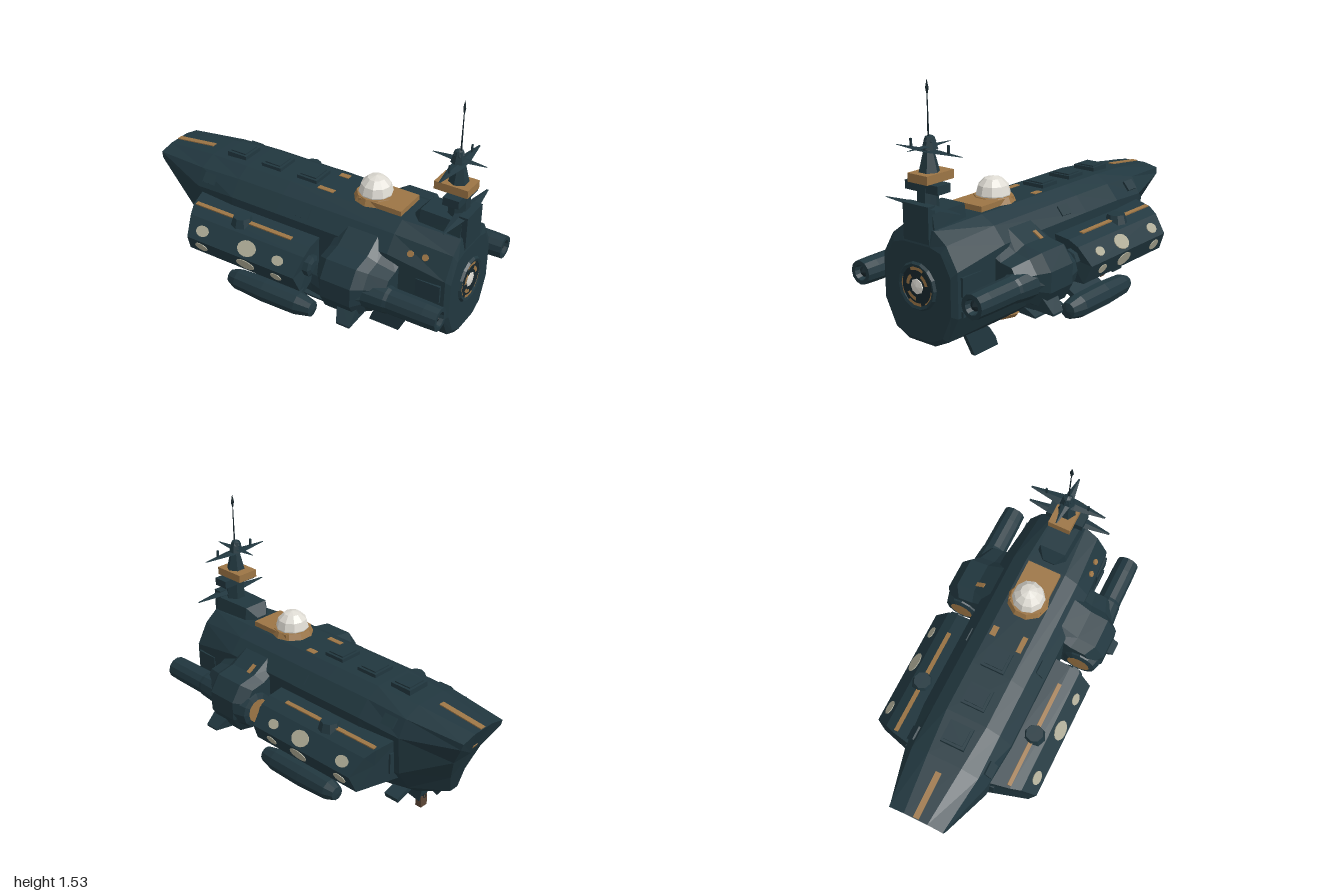
import * as THREE from 'three';

const mat = (name, color) => {
  const m = new THREE.MeshStandardMaterial({ color, flatShading: true, side: THREE.DoubleSide });
  m.name = name;
  return m;
};

export function createModel() {
  const root = new THREE.Group();
  root.name = 'airship';
  const teal = mat('dark teal plating', 0x21373f);
  const dark = mat('dark recess', 0x17262c);
  const ochre = mat('ochre trim', 0x9c7545);
  const brown = mat('brown gun metal', 0x5c4636);
  const cream = mat('cream spots', 0xaeab96);
  const white = mat('white dome', 0xdedbd3);

  const add = (name, geo, material, x = 0, y = 0, z = 0, rx = 0, ry = 0, rz = 0) => {
    const m = new THREE.Mesh(geo, material);
    m.name = name;
    m.position.set(x, y, z);
    m.rotation.set(rx, ry, rz);
    root.add(m);
    return m;
  };
  const box = (name, material, w, h, d, x, y, z, rx = 0, ry = 0, rz = 0) =>
    add(name, new THREE.BoxGeometry(w, h, d), material, x, y, z, rx, ry, rz);
  // Solid of revolution along x; profile is [x, radius], ordered by rising x
  const turned = (name, material, profile, y, z, sides = 10) =>
    add(name, new THREE.LatheGeometry(profile.map(([x, r]) => new THREE.Vector2(r, x)), sides),
      material, 0, y, z, 0, 0, -Math.PI / 2);

  // Closed solid through rings of [x, y, z] points, wound outwards
  const loft = (rings) => {
    const tris = [];
    const n = rings[0].length;
    for (let i = 0; i < rings.length - 1; i++) {
      for (let j = 0; j < n; j++) {
        const k = (j + 1) % n;
        const [a, b, c, d] = [rings[i][j], rings[i][k], rings[i + 1][k], rings[i + 1][j]];
        tris.push([a, b, c], [a, c, d]);
      }
    }
    const cap = (ring, flip) => {
      const mid = [0, 1, 2].map((c) => ring.reduce((s, p) => s + p[c], 0) / n);
      ring.forEach((p, j) => {
        const q = ring[(j + 1) % n];
        tris.push(flip ? [mid, q, p] : [mid, p, q]);
      });
    };
    cap(rings[0], true);
    cap(rings[rings.length - 1], false);
    const V = (p) => new THREE.Vector3(...p);
    const volume = tris.reduce((s, [a, b, c]) => s + V(a).dot(V(b).cross(V(c))), 0);
    if (volume < 0) tris.forEach((t) => t.reverse());
    const g = new THREE.BufferGeometry();
    g.setAttribute('position', new THREE.Float32BufferAttribute(tris.flat(2), 3));
    g.computeVertexNormals();
    return g;
  };

  // Hull: half sections of [z, y] from deck to keel, mirrored into full rings
  const mid = [[.12, .83], [.2, .785], [.27, .7], [.27, .43], [.19, .27], [.1, .2]];
  const sections = [
    [-1, [[.07, .775], [.16, .755], [.165, .72], [.11, .58], [.06, .44], [.03, .33]]],
    [-.66, [[.1, .815], [.2, .775], [.25, .68], [.24, .46], [.16, .33], [.08, .265]]],
    [-.4, [...mid.slice(0, 4), [.19, .29], [.1, .225]]],
    [-.1, mid], [.6, mid],
    [.93, [[.1, .82], [.18, .76], [.25, .64], [.25, .4], [.18, .26], [.09, .215]]],
    [.95, [[.09, .74], [.16, .72], [.22, .61], [.22, .41], [.16, .28], [.08, .24]]],
  ];
  const rake = [0, 0, .01, .09, .14, .16];
  add('hull', loft(sections.map(([x, half], i) => {
    const side = half.map(([z, y], j) => [x + (i === 0 ? rake[j] : 0), y, z]);
    return [...side, ...side.map(([a, b, c]) => [a, b, -c]).reverse()];
  })), teal);

  // Deck: bow stripe, hatches, dome on its plinth
  box('bowStripe', ochre, .27, .008, .034, -.862, .793, 0, 0, 0, .117);
  box('stemStripe', ochre, .009, .12, .034, -.926, .61, 0, 0, 0, .52);
  for (const x of [-.51, -.27, -.03]) {
    box('hatchFrame', teal, .13, .03, .14, x, .835, 0);
    box('hatchLid', teal, .1, .01, .11, x, .852, 0);
  }
  box('domePlinth', ochre, .26, .03, .2, .45, .845, 0);
  add('domeRing', new THREE.CylinderGeometry(.105, .125, .045, 10), ochre, .37, .842, 0);
  add('dome', new THREE.SphereGeometry(.095, 10, 6), white, .37, .87, 0);
  box('deckMark', ochre, .06, .008, .035, .12, .83, -.09);
  box('deckMark', ochre, .1, .008, .03, .11, .83, .085);

  // Tower with mast, platform, yards and aerial
  add('towerBase', loft([[.63, .04], [.68, .09], [.92, .1]].map(([x, w]) =>
    [[x, .8, w], [x, x < .65 ? .84 : .9, w * .85], [x, x < .65 ? .84 : .9, -w * .85], [x, .8, -w]])), teal);
  add('towerTrunk', new THREE.CylinderGeometry(.052, .06, .26, 6), teal, .86, .95, 0);
  box('towerBack', teal, .05, .19, .17, .925, .845, 0);
  box('radarBlock', teal, .09, .045, .22, .86, 1.015, 0);
  box('platform', ochre, .19, .045, .13, .835, 1.062, 0);
  add('upperMast', new THREE.CylinderGeometry(.025, .055, .12, 6), teal, .845, 1.14, 0);
  add('mastHead', new THREE.CylinderGeometry(.025, .042, .06, 7), teal, .835, 1.225, 0);
  add('mastCap', new THREE.SphereGeometry(.032, 6, 4), teal, .835, 1.235, 0);
  // Yards: flat blades tapering to a point at both ends
  const yard = (name, length, width, x, y, turn) =>
    add(name, loft([[-.5, .15], [-.1, 1], [.1, 1], [.5, .15]].map(([t, k]) => [[-1, 0], [0, 1], [1, 0], [0, -1]]
      .map(([u, v]) => [u * width * k / 2, v * .008 * k, t * length]))), teal, x, y, 0, 0, turn);
  yard('upperYard', .44, .07, .845, 1.187, 0);
  yard('signalYard', .3, .05, .84, 1.21, Math.PI / 2);
  yard('lowerYard', .5, .08, .9, .925, 0);
  box('lowerYardArm', teal, .12, .02, .05, .88, .93, 0);
  for (const z of [.12, -.13]) box('yardPost', teal, .008, .05, .012, .845, 1.208, z);
  add('aerial', new THREE.CylinderGeometry(.002, .005, .26, 5), dark, .845, 1.38, 0);
  add('aerialVane', new THREE.OctahedronGeometry(1), dark, .845, 1.495, 0).scale.set(.008, .045, .012);

  // Stern nozzle
  add('nozzleCowl', new THREE.TorusGeometry(.115, .014, 5, 14), teal, .95, .52, 0, 0, Math.PI / 2);
  turned('nozzleDisc', dark, [[.945, .11], [.953, .11], [.955, 0]], .52, 0, 12);
  for (const [r, a] of [[.1, 1.1], [.11, 2.8], [.1, 4.1], [.11, 5.3], [.07, .2], [.065, 2.2], [.07, 3.7]]) {
    add('nozzleArc', new THREE.RingGeometry(r - .014, r + .006, 6, 1, 0, .9), ochre, .958, .52, 0, a, Math.PI / 2);
  }
  turned('nozzleCore', white, [[.95, .042], [.958, .04], [.964, 0]], .52, 0, 8);

  // Keel: rudder, ventral turret, stripes and chin gun
  const fin = new THREE.Shape([[.36, .005], [.55, .005], [.64, .19], [.6, .24], [.5, .24], [.5, .18], [.43, .13], [.38, .06]]
    .map((p) => new THREE.Vector2(...p)));
  add('ventralFin', new THREE.ExtrudeGeometry(fin, { depth: .026, bevelEnabled: false }), teal, 0, 0, -.013);
  add('ventralRing', new THREE.CylinderGeometry(.13, .11, .024, 8), ochre, .33, .194, 0);
  add('ventralTurret', new THREE.SphereGeometry(.06, 8, 5), teal, .33, .19, 0).scale.y = .3;
  box('keelRail', teal, .42, .04, .06, -.38, .195, 0);
  box('keelStripe', ochre, .34, .009, .034, -.4, .172, 0);
  box('keelMark', ochre, .12, .008, .05, .03, .198, 0);
  box('chinMount', teal, .09, .1, .06, -.6, .215, 0, 0, 0, .2);
  turned('chinGun', dark, [[-.65, .012], [-.58, .014], [-.56, .03], [-.5, .03]], .185, 0, 6);
  box('chinGunGrip', brown, .04, .07, .05, -.625, .152, 0);
  box('chinFin', teal, .06, .08, .02, -.73, .29, 0, 0, 0, .5);

  // Single-sided marks: portholes on one flank, fairing mark on the other
  for (const [x, z] of [[.72, .238], [.8, .228]]) {
    add('porthole', new THREE.CylinderGeometry(.018, .018, .009, 8), ochre, x, .73, z, .95);
  }
  box('fairingMark', ochre, .025, .009, .06, .385, .704, -.31, -.55);

  // Everything paired on both flanks
  for (const s of [1, -1]) {
    const prism = (name, stations) =>
      add(name, loft(stations.map((r) => r.map(([x, y, z]) => [x, y, z * s]))), teal);

    // Sponson with slanted nose, stripe and painted spots
    const prof = [[.2, .66], [.36, .635], [.42, .605], [.5, .51], [.46, .41], [.2, .41]];
    prism('sponson', [
      prof.map(([z, y]) => [-.64 + Math.max(0, z - .27) * .4, y, z]),
      prof.map(([z, y]) => [z > .48 ? .17 : .185, y, z]),
    ]);
    box('sponsonStripe', ochre, .65, .009, .024, -.265, .639, .35 * s, .155 * s);
    // Spot lying on a facet with normal (ny, nz)
    const spot = (x, r, z, y, ny, nz, h) => {
      const m = add('spot', new THREE.CylinderGeometry(1, 1, .007, 14), cream, x, y, z * s, Math.atan2(nz * s, ny));
      m.scale.set(r, 1, h);
    };
    for (const [x, r] of [[-.465, .042], [-.16, .06], [.045, .036]]) {
      spot(x, r, .463, .555, .645, .765, r * .75);
      spot(x, r, .481, .462, -.37, .93, Math.min(.04, r * .75));
    }
    add('sponsonTurret', new THREE.CylinderGeometry(.05, .065, .05, 8), teal, -.27, .642, .35 * s);
    turned('sponsonTail', teal, [[.17, .06], [.21, .06], [.22, .035], [.22, 0]], .53, .37 * s, 8);
    box('noseBracket', teal, .1, .12, .05, -.58, .52, .25 * s);

    // Engine nacelle, its fairing, intake, exhaust and winglet
    const fair = [[.2, .77], [.33, .69], [.44, .67], [.5, .58], [.5, .47], [.45, .38], [.3, .38], [.2, .42]];
    const ringAt = (x, k) => fair.map(([z, y]) => [x, .53 + (y - .53) * k, .25 + (z - .25) * (z > .25 ? k : 1)]);
    prism('nacelleFairing', [ringAt(.28, .8), ringAt(.34, 1), ringAt(.52, 1), ringAt(.57, .8), ringAt(.67, .62)]);
    turned('engine', teal, [[.26, .07], [.27, .1], [.34, .12], [.52, .115], [.56, .085], [.68, .075],
      [.7, .07], [.9, .068], [.98, .065], [.98, .042], [.9, .03]], .513, .38 * s, 12);
    turned('intakeFace', ochre, [[.264, 0], [.265, .075]], .513, .38 * s, 10);
    turned('exhaustCore', dark, [[.9, .035], [.955, .03], [.975, 0]], .513, .38 * s, 8);
    prism('winglet', [
      [[.4, .48, .42], [.46, .37, .53], [.46, .36, .53], [.4, .37, .36]],
      [[.54, .48, .42], [.54, .37, .53], [.54, .36, .53], [.54, .37, .36]],
    ]);

    // Slung pod on a splayed pylon
    turned('slungPod', teal, [[-.35, 0], [-.345, .04], [-.29, .06], [-.1, .07], [.12, .066], [.21, .045], [.22, 0]], .245, .375 * s, 10);
    prism('podPylon', [-.14, .12].map((x) =>
      [[x, .39, .22], [x, .36, .26], [x, .3, .36], [x, .27, .36], [x, .34, .22]]));
    prism('flankFairing', [[-.36, .36], [-.2, .3], [.2, .24], [.34, .26]].map(([x, y]) =>
      [[x, .42, .18], [x, .42, .262], [x, y, .25], [x, y, .16]]));

    // Hull trim: keel fins, shoulder plates, bow and stern fittings
    prism('keelFin', [[.05, .2], [.3, .2]].map(([x, y]) =>
      [[x, y + .05, .13], [x, y, .225], [x, y - .01, .225], [x, y, .1]]));
    for (const x of [-.58, .06]) {
      box('shoulderPlate', teal, .08, .012, .06, x, .745, .235 * s, .88 * s);
    }
    box('bowFin', teal, .09, .03, .12, -.56, .24, .12 * s, .3 * s);
    box('sternBlock', teal, .14, .1, .05, .84, .56, .24 * s);
    box('sternStrake', teal, .3, .03, .04, .76, .42, .245 * s);
  }
  return root;
}
